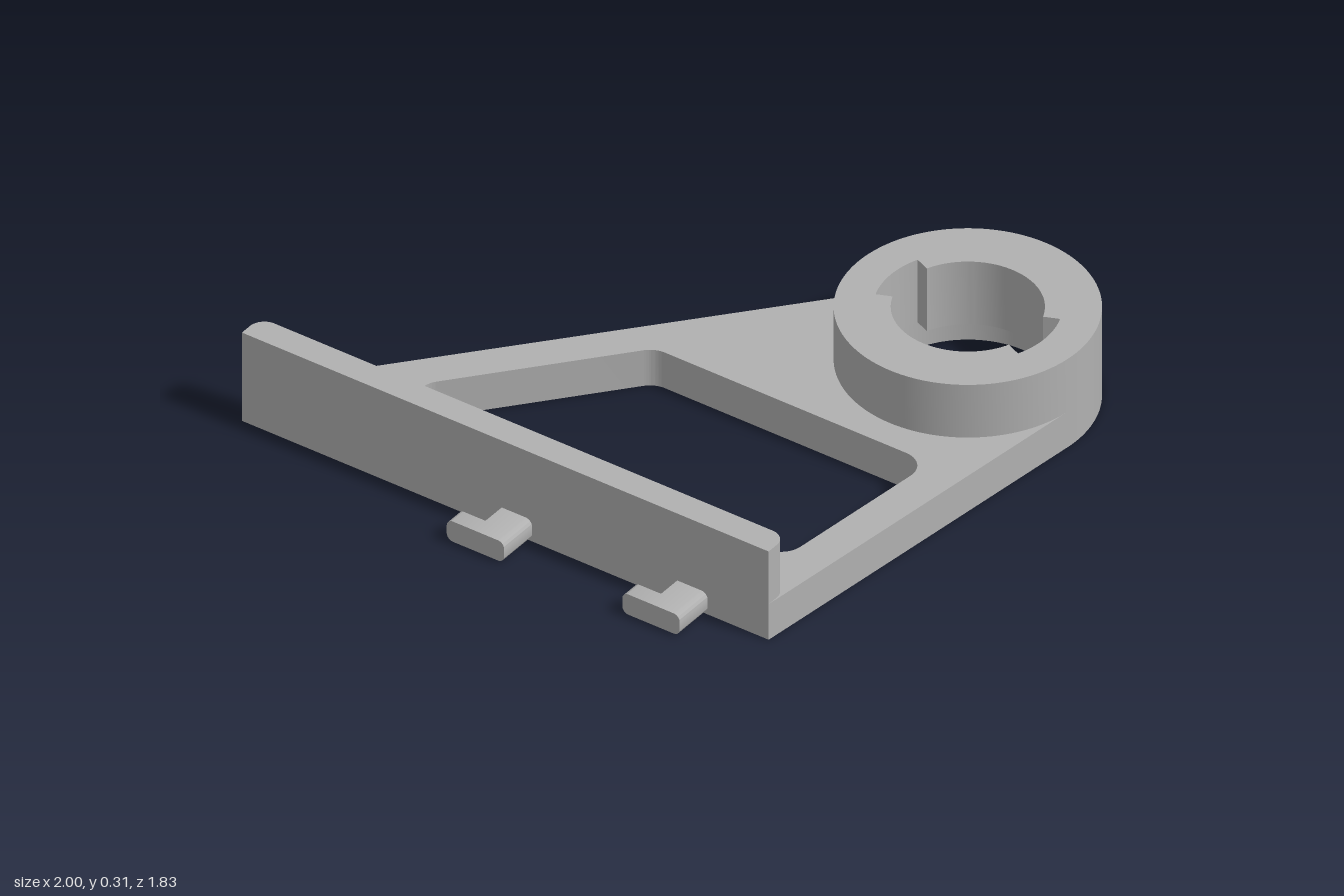
import * as THREE from 'three';
import { toCreasedNormals } from 'three/addons/utils/BufferGeometryUtils.js';

const RING = { x: 0.613, y: 0.53, r: 0.383, bore: 0.22, slot: 0.27 }; // plan: y = -z
const deg = THREE.MathUtils.degToRad;

// Append a polygon with rounded corners; each point is [x, y, radius]
function roundedLoop(path, pts) {
  const n = pts.length;
  pts.forEach(([x, y, r], i) => {
    const c = new THREE.Vector2(x, y);
    if (!r) {
      i ? path.lineTo(x, y) : path.moveTo(x, y);
      return;
    }
    const a = new THREE.Vector2(...pts[(i + n - 1) % n].slice(0, 2)).sub(c).normalize();
    const b = new THREE.Vector2(...pts[(i + 1) % n].slice(0, 2)).sub(c).normalize();
    const half = Math.acos(a.dot(b)) / 2;
    const start = c.clone().addScaledVector(a, r / Math.tan(half));
    const end = c.clone().addScaledVector(b, r / Math.tan(half));
    const o = c.clone().addScaledVector(a.clone().add(b).normalize(), r / Math.sin(half));
    i ? path.lineTo(start.x, start.y) : path.moveTo(start.x, start.y);
    path.absarc(o.x, o.y, r, Math.atan2(start.y - o.y, start.x - o.x),
      Math.atan2(end.y - o.y, end.x - o.x), a.cross(b) > 0);
  });
  path.closePath();
  return path;
}

function extrude(shape, depth) {
  const g = new THREE.ExtrudeGeometry(shape, { depth, bevelEnabled: false, curveSegments: 24 });
  return toCreasedNormals(g, deg(25));
}

// Extrude a plan outline upward from y0 to y1
function slab(shape, y0, y1) {
  return extrude(shape, y1 - y0).rotateX(-Math.PI / 2).translate(0, y0, 0);
}

// Ring outline whose bore widens into slots over the given angles
function ringShape(from, to) {
  const s = new THREE.Shape();
  for (let i = 0; i < 4; i++) {
    s.absarc(RING.x, RING.y, RING.r, i * Math.PI / 2, (i + 1) * Math.PI / 2, false);
  }
  const bore = new THREE.Path();
  for (const turn of [0, 180]) {
    bore.absarc(RING.x, RING.y, RING.slot, deg(from + turn), deg(to + turn), false);
    bore.absarc(RING.x, RING.y, RING.bore, deg(to + turn), deg(from + 180 + turn), false);
  }
  bore.closePath();
  s.holes.push(bore);
  return s;
}

export function createModel() {
  const model = new THREE.Group();
  model.name = 'bracket';
  const grey = new THREE.MeshStandardMaterial({ color: 0xb0b0b0 });
  grey.name = 'grey';
  const add = (name, geometry, parent = model) => {
    const mesh = new THREE.Mesh(geometry, grey);
    mesh.name = name;
    parent.add(mesh);
    return mesh;
  };

  // Base plate, wrapping the ring at its tangent points
  const plate = new THREE.Shape();
  plate.moveTo(-0.996, -0.774);
  plate.lineTo(0.845, -0.774);
  plate.absarc(RING.x, RING.y, RING.r, Math.atan2(-0.046, 0.38),
    Math.atan2(0.247, -0.292) - 2 * Math.PI, true);
  plate.closePath();
  plate.holes.push(roundedLoop(new THREE.Path(), [
    [-0.66, -0.56, 0.075], [-0.144, 0.055, 0.075], [0.82, 0.055, 0.075], [0.748, -0.56, 0.075],
  ]));
  add('basePlate', slab(plate, 0, 0.125));

  // Upright wall along the front, rounded at the back corners
  const wall = roundedLoop(new THREE.Shape(), [
    [-1, -0.775, 0], [0.845, -0.775, 0], [0.845, -0.685, 0.05], [-1, -0.685, 0.05],
  ]);
  add('frontWall', slab(wall, 0, 0.31));

  // Ring: entry notches above, twist-lock recesses below
  const ring = new THREE.Group();
  ring.name = 'ring';
  model.add(ring);
  add('ringUpper', slab(ringShape(-22.5, 22.5), 0.09, 0.31), ring);
  add('ringLower', slab(ringShape(-112.5, 22.5), 0, 0.09), ring);

  // Two L-shaped hooks on the wall's front
  for (const x of [0, 0.615]) {
    const hook = new THREE.Group();
    hook.name = 'hook';
    hook.position.x = x;
    model.add(hook);
    const stem = roundedLoop(new THREE.Shape(), [
      [-0.09, 0.004, 0], [0.016, 0.004, 0.022], [0.016, 0.075, 0.022], [-0.09, 0.075, 0],
    ]);
    const toe = roundedLoop(new THREE.Shape(), [
      [-0.185, 0.004, 0.022], [0.016, 0.004, 0.022], [0.016, 0.075, 0.022], [-0.185, 0.075, 0.022],
    ]);
    add('hookStem', extrude(stem, 0.085).translate(0, 0, 0.77), hook);
    add('hookToe', extrude(toe, 0.057).translate(0, 0, 0.855), hook);
  }
  return model;
}
